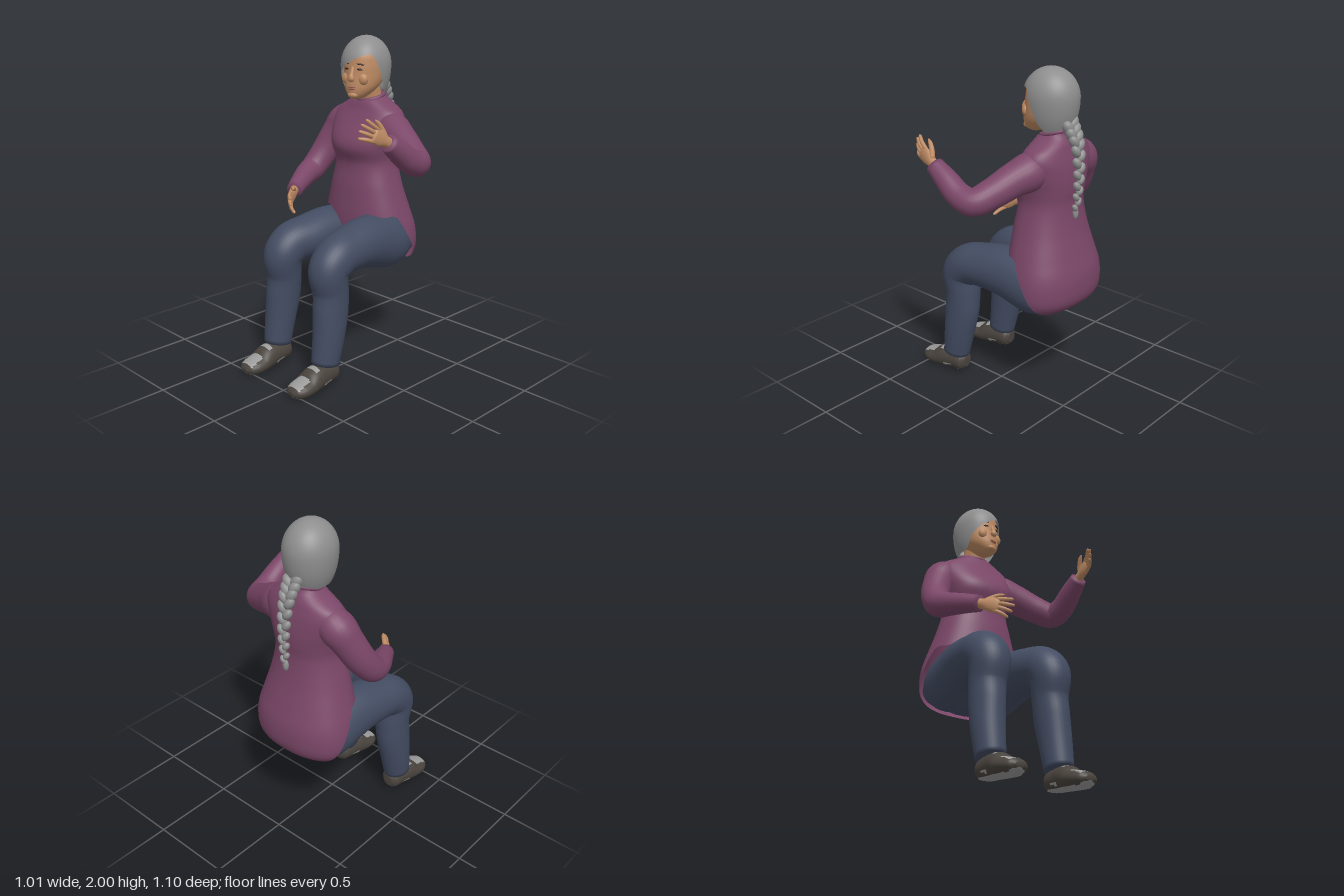
import * as THREE from 'three';

const mat = (name, color, side = THREE.FrontSide) => {
  const m = new THREE.MeshStandardMaterial({ color, side });
  m.name = name;
  return m;
};
const V = (x, y, z) => new THREE.Vector3(x, y, z);
const MID = -0.095; // centre line of the seated body

// closed rings of points joined into a skin; paint picks the material of each quad
function skin(rows, cols, point, { capStart = true, capEnd = true, paint = () => 0 } = {}) {
  const pos = [], faces = [[], []];
  for (let i = 0; i <= rows; i++)
    for (let j = 0; j < cols; j++) pos.push(point(i / rows, (j / cols) * Math.PI * 2));
  for (let i = 0; i < rows; i++)
    for (let j = 0; j < cols; j++) {
      const k = (j + 1) % cols;
      const a = i * cols + j, b = i * cols + k, c = a + cols, d = b + cols;
      const mid = pos[a].clone().add(pos[d]).multiplyScalar(0.5);
      faces[paint(mid, ((j + 0.5) / cols) * Math.PI * 2)].push(a, b, c, b, d, c);
    }
  const cap = (row, flip) => {
    const centre = V(0, 0, 0), base = row * cols, n = pos.length;
    for (let j = 0; j < cols; j++) centre.addScaledVector(pos[base + j], 1 / cols);
    pos.push(centre);
    for (let j = 0; j < cols; j++) {
      const p = base + j, q = base + ((j + 1) % cols);
      faces[0].push(n, flip ? q : p, flip ? p : q);
    }
  };
  if (capStart) cap(0, true);
  if (capEnd) cap(rows, false);
  const g = new THREE.BufferGeometry().setFromPoints(pos);
  g.setIndex([...faces[0], ...faces[1]]);
  if (faces[1].length) {
    g.addGroup(0, faces[0].length, 0);
    g.addGroup(faces[0].length, faces[1].length, 1);
  }
  g.computeVertexNormals();
  return g;
}

// tube along points [x, y, z, radius, second radius]
function limb(pts, ref, rows = 40, cols = 24, opts = {}, rule = p => p) {
  const path = new THREE.CatmullRomCurve3(pts.map(p => V(p[0], p[1], p[2])));
  const radii = new THREE.CatmullRomCurve3(pts.map(p => V(p[3], p[4] ?? p[3], 0)), false, 'catmullrom');
  return skin(rows, cols, (t, a) => {
    const tan = path.getTangent(t), r = radii.getPoint(t);
    const u = ref.clone().addScaledVector(tan, -ref.dot(tan)).normalize();
    const v = tan.clone().cross(u);
    return rule(path.getPoint(t).addScaledVector(u, r.x * Math.cos(a)).addScaledVector(v, r.y * Math.sin(a)));
  }, opts);
}

// smooth lookup in a table sorted by its first column
function sample(table, x) {
  const n = table.length - 1;
  x = Math.min(Math.max(x, table[0][0]), table[n][0]);
  let k = 0;
  while (k < n - 1 && x > table[k + 1][0]) k++;
  const h = table[k + 1][0] - table[k][0], t = (x - table[k][0]) / h;
  const slope = (i, c) => {
    const a = table[Math.max(i - 1, 0)], b = table[Math.min(i + 1, n)];
    return (b[c] - a[c]) / (b[0] - a[0]);
  };
  return table[k].map((p, c) => {
    const q = table[k + 1][c], s = t * t * (3 - 2 * t);
    return p + (q - p) * s + h * (t * (1 - t) ** 2 * slope(k, c) - t * t * (1 - t) * slope(k + 1, c));
  });
}

// upright shell; profile rows are [y, half width, front z, back z], angle 0 is the front
function shell(profile, bottom, top, rows, cols, opts, square = 1) {
  const bend = s => Math.sign(s) * Math.abs(s) ** square;
  return skin(rows, cols, (t, a) => {
    const lo = bottom(a), y = lo + (top(a) - lo) * t;
    const [, w, zf, zb] = sample(profile, y);
    return V(MID + w * bend(Math.sin(a)), y, (zf + zb) / 2 + ((zf - zb) / 2) * bend(Math.cos(a)));
  }, opts);
}

export function createModel() {
  const model = new THREE.Group();
  const skinMat = mat('skin', 0xbd8a63), hairMat = mat('grey hair', 0x8e8e8e, THREE.DoubleSide);
  const shirt = mat('plum knit', 0x7b4768, THREE.DoubleSide), denim = mat('dark blue denim', 0x434c62, THREE.DoubleSide);
  const shoeMat = mat('dark shoe', 0x49433d), trim = mat('shoe grey', 0x9a9a9a);
  const dark = mat('dark brown', 0x3a2c27), lip = mat('lip', 0x9c6150);
  const X = V(1, 0, 0), Y = V(0, 1, 0);
  const add = (name, geo, material, parent = model) => {
    const m = new THREE.Mesh(geo, material);
    m.name = name;
    parent.add(m);
    return m;
  };
  const blob = (name, material, parent, p, s, rz = 0) => {
    const m = add(name, new THREE.SphereGeometry(1, 18, 12), material, parent);
    m.position.set(...p);
    m.scale.set(...s);
    m.rotation.z = rz;
    return m;
  };

  // tunic: short over the lap, long over the seat
  const hem = [[0, 0.79], [0.2, 0.87], [0.42, 0.95], [1, 0.94], [1.4, 0.93], [1.62, 0.8], [1.95, 0.67], [2.4, 0.625], [Math.PI, 0.62]];
  const torso = [[0.6, 0.24, -0.2, -0.44], [0.65, 0.285, -0.15, -0.51], [0.7, 0.31, -0.12, -0.54], [0.78, 0.315, -0.11, -0.548],
    [0.86, 0.305, -0.105, -0.54], [0.95, 0.28, -0.105, -0.515], [1.1, 0.235, -0.115, -0.475], [1.25, 0.2, -0.13, -0.455],
    [1.34, 0.213, -0.1, -0.463], [1.4, 0.23, -0.11, -0.465], [1.5, 0.25, -0.17, -0.455], [1.56, 0.225, -0.205, -0.44],
    [1.6, 0.16, -0.22, -0.43], [1.64, 0.095, -0.235, -0.412], [1.69, 0.085, -0.24, -0.405]];
  const turn = a => Math.min(a, Math.PI * 2 - a);
  add('tunic', shell(torso, a => sample(hem, turn(a))[1], a => 1.645 - 0.025 * Math.cos(a), 64, 72, { capStart: false }, 0.88), shirt);
  const collar = add('collar', new THREE.TorusGeometry(0.09, 0.011, 10, 36), shirt);
  collar.position.set(MID, 1.645, -0.322);
  collar.rotation.x = Math.PI / 2 + 0.28;

  // sleeves
  add('leftSleeve', limb([[0.0, 1.5, -0.32, 0.08], [0.1, 1.455, -0.3, 0.108], [0.2, 1.42, -0.265, 0.096], [0.32, 1.365, -0.22, 0.085],
    [0.415, 1.328, -0.17, 0.078], [0.435, 1.35, -0.09, 0.073], [0.435, 1.42, 0.01, 0.065], [0.435, 1.485, 0.1, 0.05]], Y), shirt);
  add('rightSleeve', limb([[-0.2, 1.51, -0.32, 0.08], [-0.31, 1.46, -0.32, 0.102], [-0.36, 1.38, -0.29, 0.092], [-0.405, 1.26, -0.23, 0.085],
    [-0.42, 1.17, -0.15, 0.078], [-0.4, 1.142, -0.07, 0.07], [-0.345, 1.115, 0.04, 0.058], [-0.3, 1.09, 0.125, 0.048]], X), shirt);

  // hands: local y runs along the fingers, local x towards the thumb
  const hand = (name, wrist, dir, thumbSide, curl) => {
    const g = new THREE.Group(), y = dir.normalize();
    g.name = name;
    const x = thumbSide.addScaledVector(y, -thumbSide.dot(y)).normalize();
    g.applyMatrix4(new THREE.Matrix4().makeBasis(x, y, x.clone().cross(y)).setPosition(wrist));
    add('palm', limb([[0, -0.03, 0, 0.032, 0.028], [0, 0.02, 0, 0.032, 0.025], [0, 0.07, 0, 0.045, 0.021], [0, 0.11, 0, 0.043, 0.015], [0, 0.122, 0, 0.03, 0.007]], X, 16, 20), skinMat, g);
    [0.085, 0.1, 0.092, 0.072].forEach((len, i) => {
      const s = 0.034 - i * 0.0225, f = s * 0.5, c = curl * (0.018 + i * 0.006);
      add('finger', limb([[s, 0.095, 0, 0.012], [s + f * 0.5, 0.105 + len * 0.5, c * 0.35, 0.0115], [s + f, 0.105 + len * 0.92, c, 0.009],
        [s + f, 0.108 + len, c * 1.1, 0.003]], X, 10, 10), skinMat, g);
    });
    add('thumb', limb([[0.018, 0.03, 0, 0.017], [0.05, 0.065, curl * 0.012, 0.015], [0.07, 0.1, curl * 0.02, 0.012], [0.077, 0.125, curl * 0.024, 0.004]], V(0, 0, 1), 10, 10), skinMat, g);
    model.add(g);
  };
  hand('leftHand', V(0.435, 1.485, 0.1), V(-0.04, 0.48, 0.86), V(0, 1, 0), -1);
  hand('rightHand', V(-0.3, 1.09, 0.125), V(0.11, -0.055, 0.16), V(0.1, 1, 0.1), 1);

  // trousers and shoes, mirrored about the centre line
  blob('trouserSeat', denim, model, [MID, 0.76, -0.35], [0.28, 0.155, 0.18]);
  for (const [side, s] of [['left', 1], ['right', -1]]) {
    const flip = p => [MID + s * (p[0] - MID), ...p.slice(1)];
    add(side + 'TrouserLeg', limb([[0.04, 0.74, -0.46, 0.11, 0.09], [0.05, 0.75, -0.33, 0.15, 0.165], [0.068, 0.79, -0.12, 0.145, 0.158],
      [0.083, 0.787, 0.05, 0.14, 0.135], [0.1, 0.765, 0.165, 0.128, 0.128], [0.105, 0.7, 0.228, 0.118, 0.122], [0.11, 0.57, 0.218, 0.102, 0.11],
      [0.115, 0.45, 0.225, 0.096, 0.113], [0.12, 0.3, 0.247, 0.09, 0.1], [0.12, 0.14, 0.275, 0.08, 0.087]].map(flip), X, 64, 32), denim);

    // shoe with flattened sole, pale toe, tongue, side patches and underside
    const sole = z => Math.max(0, 0.036 - (z - 0.2) * 0.12) + Math.max(0, z - 0.5) * 0.4;
    const cx = MID + s * (0.118 - MID);
    const paint = p => {
      const dx = Math.abs(p.x - cx), top = p.y > 0.055;
      if (p.y < sole(p.z) + 0.004) return 1;
      if (top && dx < 0.05 && p.z > 0.435 && p.z < 0.527) return 1;
      if (top && dx < 0.04 && p.z > 0.352 && p.z < 0.385) return 1;
      return !top && dx > 0.06 && p.z > 0.28 && p.z < 0.34 ? 1 : 0;
    };
    add(side + 'Shoe', limb([[0.118, 0.085, 0.19, 0.03, 0.035], [0.118, 0.085, 0.215, 0.06, 0.06], [0.118, 0.08, 0.3, 0.068, 0.072],
      [0.118, 0.07, 0.37, 0.077, 0.072], [0.118, 0.052, 0.42, 0.082, 0.056], [0.118, 0.042, 0.48, 0.079, 0.048], [0.118, 0.038, 0.525, 0.058, 0.036],
      [0.118, 0.036, 0.547, 0.025, 0.014]].map(flip), X, 56, 40, { paint }, p => { p.y = Math.max(p.y, sole(p.z)); return p; }), [shoeMat, trim]);
  }

  // neck, then the head turned a little to its left
  add('neck', limb([[MID, 1.57, -0.335, 0.075], [MID, 1.64, -0.315, 0.07], [MID, 1.76, -0.28, 0.07]], X, 12, 24), skinMat);
  const pivot = new THREE.Group(), head = new THREE.Group();
  pivot.name = 'headTurn';
  head.name = 'head';
  pivot.position.set(MID, 0, -0.28);
  pivot.rotation.y = 0.2;
  head.position.set(-MID, 0, 0.28);
  pivot.add(head);
  model.add(pivot);
  const face = [[1.636, 0.025, -0.155, -0.215], [1.65, 0.05, -0.13, -0.26], [1.69, 0.088, -0.12, -0.33], [1.73, 0.108, -0.122, -0.38],
    [1.78, 0.118, -0.128, -0.41], [1.84, 0.12, -0.133, -0.42], [1.9, 0.105, -0.145, -0.4], [1.95, 0.06, -0.19, -0.36]];
  add('face', shell(face, () => 1.636, () => 1.95, 30, 40, {}), skinMat, head);
  add('nose', limb([[MID, 1.825, -0.14, 0.011, 0.012], [MID, 1.785, -0.125, 0.014, 0.016], [MID, 1.758, -0.118, 0.021, 0.019], [MID, 1.745, -0.125, 0.012, 0.01]], X, 12, 14), skinMat, head);
  for (const s of [-1, 1]) {
    blob('eye', dark, head, [MID + s * 0.045, 1.813, -0.141], [0.017, 0.006, 0.006], -s * 0.08).rotation.y = s * 0.4;
    blob('eyebrow', dark, head, [MID + s * 0.047, 1.843, -0.143], [0.024, 0.0045, 0.006], -s * 0.12).rotation.y = s * 0.4;
    blob('cheek', skinMat, head, [MID + s * 0.055, 1.755, -0.158], [0.034, 0.036, 0.026]);
  }
  blob('upperLip', lip, head, [MID, 1.709, -0.123], [0.027, 0.005, 0.008]);
  blob('lowerLip', lip, head, [MID, 1.699, -0.123], [0.023, 0.006, 0.008]);
  blob('chin', skinMat, head, [MID, 1.662, -0.138], [0.034, 0.02, 0.024]);

  // hair cap with a fringe swept down towards the right
  const hairEdge = [[-Math.PI, 1.65], [-1.8, 1.655], [-1.25, 1.67], [-0.95, 1.75], [-0.5, 1.815], [0, 1.862], [0.5, 1.893], [0.9, 1.89], [1.2, 1.8], [1.5, 1.695], [1.9, 1.655], [Math.PI, 1.65]];
  add('hairCap', skin(32, 56, (t, a) => {
    const lo = sample(hairEdge, a > Math.PI ? a - Math.PI * 2 : a)[1];
    const y = lo + (2 - lo) * Math.sin((t * Math.PI) / 2), d = y - 1.83;
    const r = Math.sqrt(Math.max(0, 1 - (d / (d > 0 ? 0.17 : 0.27)) ** 2));
    return V(MID + 0.146 * r * Math.sin(a), y, -0.28 + 0.163 * r * Math.cos(a));
  }, { capStart: false }), hairMat, head);

  // braid of alternating strands down the back
  const braid = new THREE.Group();
  braid.name = 'braid';
  model.add(braid);
  const line = new THREE.CatmullRomCurve3([V(MID, 1.7, -0.41), V(MID, 1.6, -0.465), V(-0.09, 1.42, -0.49), V(-0.085, 1.24, -0.483)]);
  const strands = 18;
  for (let i = 0; i < strands; i++) {
    const t = i / (strands - 1), p = line.getPoint(t), s = i % 2 ? 1 : -1, k = 1 - 0.5 * t;
    blob('strand', hairMat, braid, [p.x + s * 0.024 * k, p.y, p.z], [0.032 * k, 0.05 * k, 0.034 * k], -s * 0.6);
  }
  blob('braidEnd', hairMat, braid, [-0.085, 1.205, -0.478], [0.018, 0.035, 0.016]);
  return model;
}
